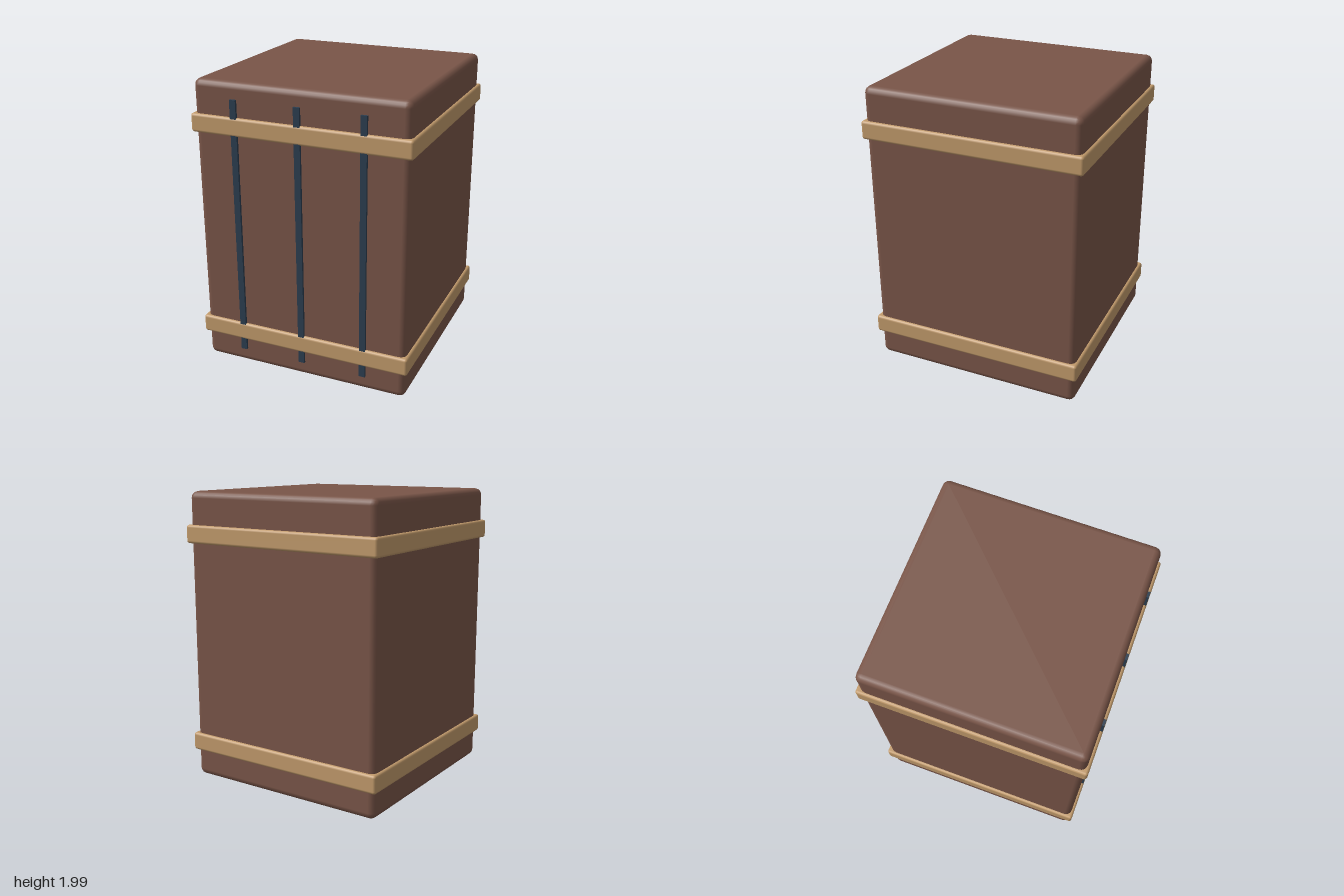
import * as THREE from 'three';
import { RoundedBoxGeometry } from 'three/addons/geometries/RoundedBoxGeometry.js';

export function createModel() {
  const group = new THREE.Group();
  const material = (name, color) => {
    const m = new THREE.MeshStandardMaterial({ color });
    m.name = name;
    return m;
  };
  const brown = material('brown wood', 0x795548);
  const tan = material('tan band', 0xc19a6b);
  const slate = material('dark slate', 0x2c3e50);

  const add = (name, geometry, mat, x, y, z) => {
    const mesh = new THREE.Mesh(geometry, mat);
    mesh.name = name;
    mesh.position.set(x, y, z);
    group.add(mesh);
  };

  // Main crate body with softened edges
  add('body', new RoundedBoxGeometry(1.46, 1.99, 1.46, 2, 0.045), brown, 0, 1.005, 0);

  // Bands wrapping the body near the bottom and top
  const band = new RoundedBoxGeometry(1.5, 0.124, 1.5, 2, 0.018);
  add('lowerBand', band, tan, 0, 0.257, 0);
  add('upperBand', band, tan, 0, 1.715, 0);

  // Upright strips on the front, passing beneath the bands
  const strip = new THREE.BoxGeometry(0.042, 1.775, 0.03);
  for (const x of [-0.44, 0, 0.44]) add('frontStrip', strip, slate, x, 1.005, 0.732);

  return group;
}
